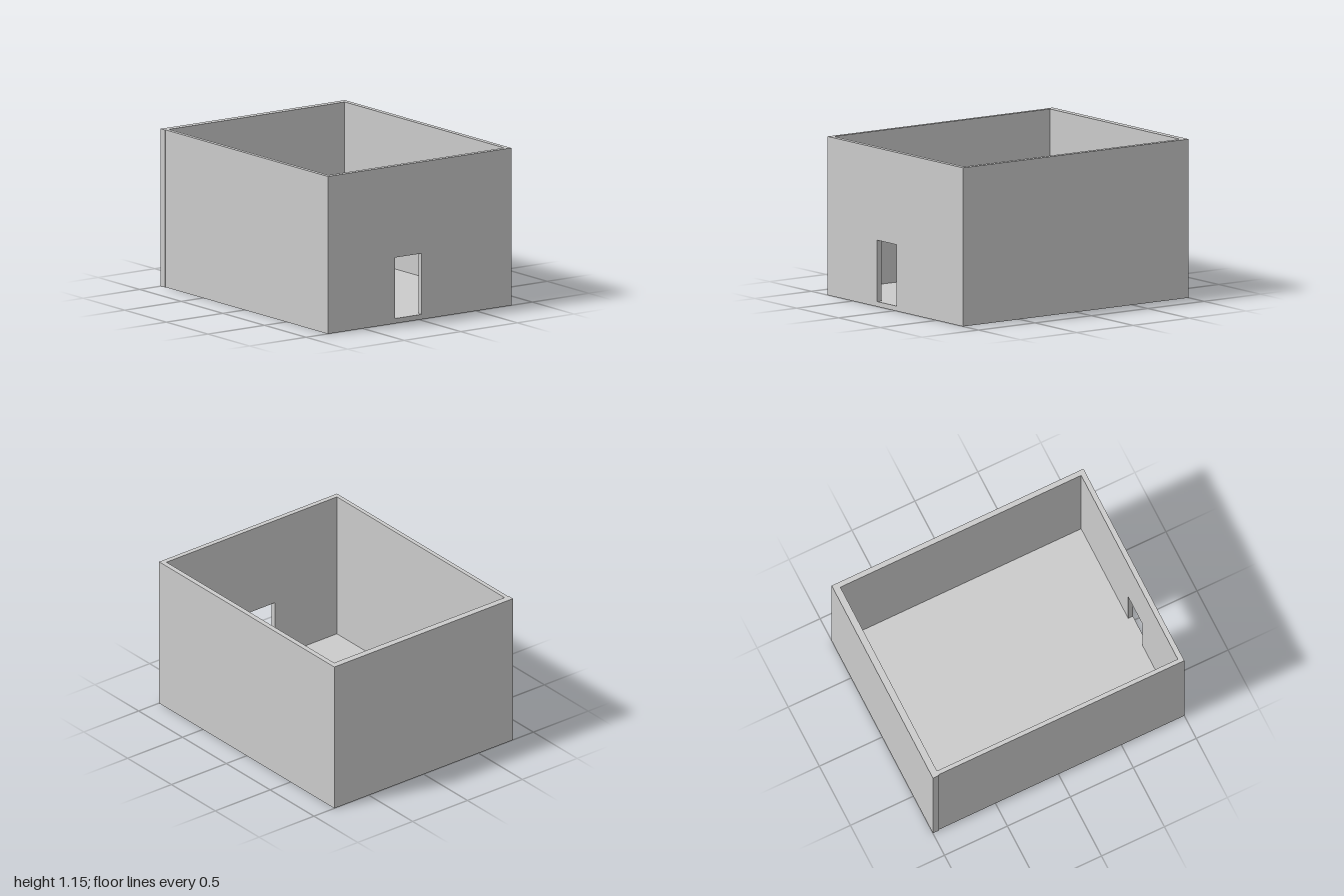
import * as THREE from 'three';

const HEIGHT = 1.147;
const FLOOR = 0.036;
// Inner faces of the room and outer faces of the walls
const inner = { x0: -0.777, x1: 0.776, z0: -0.95, z1: 0.963 };
const outer = { x0: -0.808, x1: 0.814, z0: -1, z1: 1 };
const BACK_X0 = -0.814; // the back wall stands slightly proud of the right wall

const material = new THREE.MeshStandardMaterial({ color: 0xcccccc });

// Box given by its lower and upper corners
function block(name, x0, x1, y0, y1, z0, z1) {
  const mesh = new THREE.Mesh(new THREE.BoxGeometry(x1 - x0, y1 - y0, z1 - z0), material);
  mesh.position.set((x0 + x1) / 2, (y0 + y1) / 2, (z0 + z1) / 2);
  mesh.name = name;
  return mesh;
}

function rectangle(path, x0, x1, y0, y1) {
  path.moveTo(x0, y0);
  path.lineTo(x1, y0);
  path.lineTo(x1, y1);
  path.lineTo(x0, y1);
  path.closePath();
  return path;
}

export function createModel() {
  const group = new THREE.Group();
  group.name = 'roofless room';

  // Floor slab between the walls
  group.add(block('floor', inner.x0, inner.x1, 0, FLOOR, inner.z0, inner.z1));

  // Side walls and back wall
  group.add(block('leftWall', inner.x1, outer.x1, 0, HEIGHT, inner.z0, inner.z1));
  group.add(block('rightWall', outer.x0, inner.x0, 0, HEIGHT, inner.z0, inner.z1));
  group.add(block('backWall', BACK_X0, outer.x1, 0, HEIGHT, outer.z0, inner.z0));

  // Front wall with the doorway cut through, its sill level with the floor
  const shape = rectangle(new THREE.Shape(), outer.x0, outer.x1, 0, HEIGHT);
  shape.holes.push(rectangle(new THREE.Path(), -0.212, 0.019, FLOOR, 0.48));
  const frontWall = new THREE.Mesh(
    new THREE.ExtrudeGeometry(shape, { depth: outer.z1 - inner.z1, bevelEnabled: false }),
    material
  );
  frontWall.position.z = inner.z1;
  frontWall.name = 'frontWall';
  group.add(frontWall);

  return group;
}
